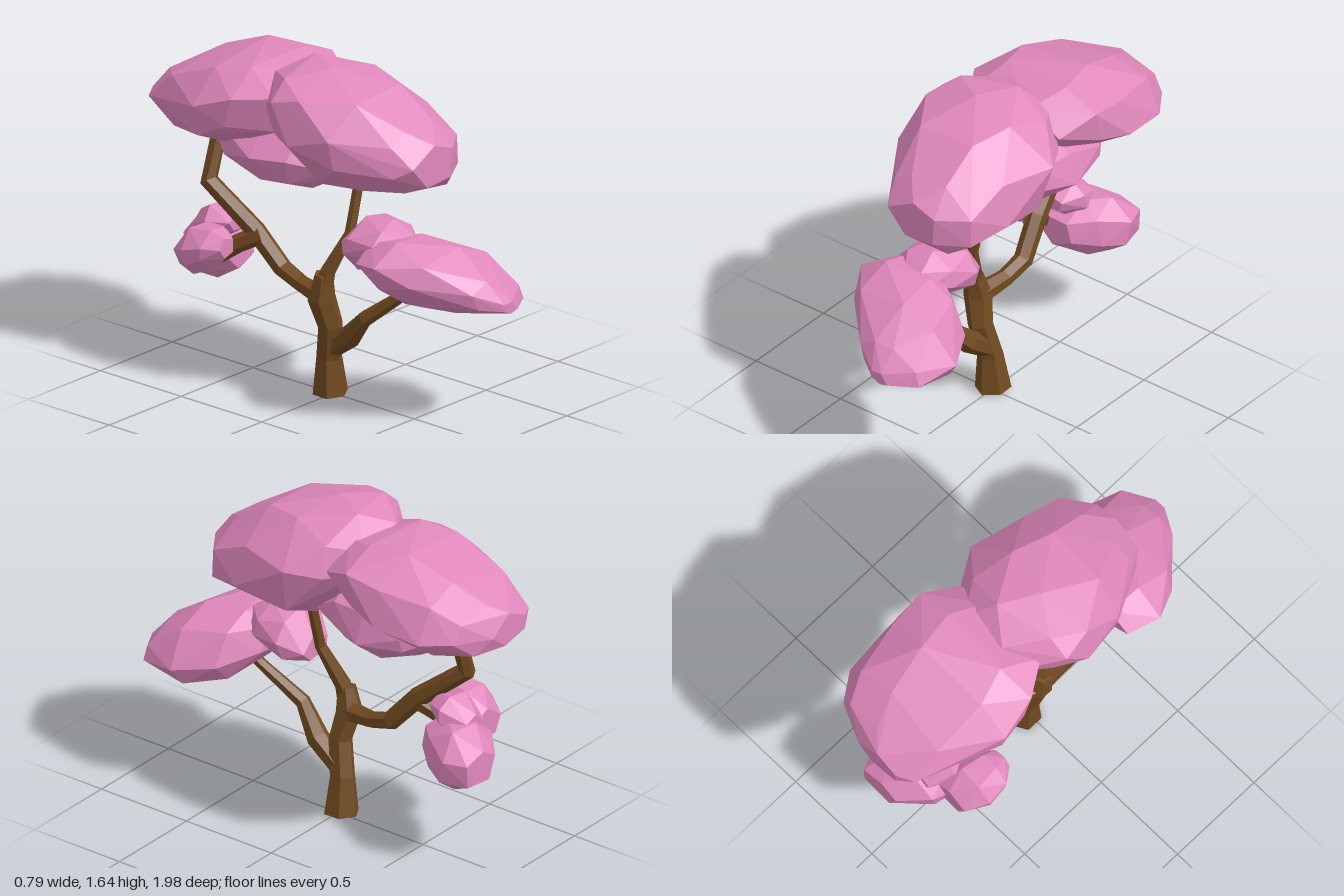
import * as THREE from 'three';
import { ConvexGeometry } from 'three/addons/geometries/ConvexGeometry.js';

const blossom = new THREE.MeshStandardMaterial({ color: 0xe088bc, flatShading: true });
blossom.name = 'blossom pink';
const bark = new THREE.MeshStandardMaterial({ color: 0x714a20, flatShading: true });
bark.name = 'bark brown';

// Small seeded generator for the irregular facets
function seeded(seed) {
  let s = seed * 7919 + 17;
  return () => (s = (s * 16807) % 2147483647) / 2147483647;
}

// Faceted foliage: hull around ellipses [z, centreX, centreY, radiusX, radiusY]; tilt slopes it across x
function foliage(name, seed, tilt, sections) {
  const rand = seeded(seed);
  rand();
  const points = [];
  sections.forEach(([z, cx, cy, rx, ry], ring) => {
    const inner = ring > 0 && ring < sections.length - 1;
    const sides = inner ? 8 : 5;
    const turn = rand() * Math.PI;
    for (let i = 0; i < sides; i++) {
      const a = turn + ((i + (rand() - 0.5) * 0.4) / sides) * Math.PI * 2;
      const r = 0.99 + rand() * 0.08;
      const dx = Math.cos(a) * rx * r;
      const dz = inner ? (rand() - 0.5) * 0.08 * (rx / 0.35) : 0;
      points.push(new THREE.Vector3(cx + dx, cy + Math.sin(a) * ry * r + dx * tilt, z + dz));
    }
  });
  const mesh = new THREE.Mesh(new ConvexGeometry(points), blossom);
  mesh.name = name;
  return mesh;
}

// Tapered six-sided limb through points [x, y, z, radius]
function limb(name, path) {
  const sides = 6;
  const centres = path.map(([x, y, z]) => new THREE.Vector3(x, y, z));
  const rings = centres.map((c, i) => {
    const before = centres[Math.max(i - 1, 0)];
    const after = centres[Math.min(i + 1, centres.length - 1)];
    const t = after.clone().sub(before).normalize();
    const s = new THREE.Vector3(1, 0, 0).addScaledVector(t, -t.x).normalize();
    const n = t.clone().cross(s);
    return Array.from({ length: sides }, (_, j) => {
      const a = ((j + 0.5) / sides) * Math.PI * 2;
      return c.clone()
        .addScaledVector(s, Math.cos(a) * path[i][3])
        .addScaledVector(n, Math.sin(a) * path[i][3]);
    });
  });
  const tris = [];
  const last = rings.length - 1;
  for (let j = 0; j < sides; j++) {
    const k = (j + 1) % sides;
    for (let i = 0; i < last; i++) {
      const [a, b, c, d] = [rings[i][j], rings[i][k], rings[i + 1][k], rings[i + 1][j]];
      tris.push(a, b, c, a, c, d);
    }
    tris.push(centres[0], rings[0][k], rings[0][j]);
    tris.push(centres[last], rings[last][j], rings[last][k]);
  }
  const geometry = new THREE.BufferGeometry().setFromPoints(tris);
  geometry.computeVertexNormals();
  const mesh = new THREE.Mesh(geometry, bark);
  mesh.name = name;
  return mesh;
}

export function createModel() {
  const tree = new THREE.Group();
  tree.name = 'blossomTree';

  // Trunk and branches
  tree.add(
    limb('trunk', [
      [-0.006, 0.005, -0.015, 0.086], [-0.02, 0.19, -0.01, 0.062], [-0.05, 0.36, 0.025, 0.06],
      [-0.085, 0.5, 0, 0.068], [-0.09, 0.62, 0.02, 0.045],
    ]),
    limb('frontUpperBranch', [
      [-0.09, 0.52, 0.01, 0.05], [-0.08, 0.63, 0.035, 0.04], [-0.02, 0.83, 0.12, 0.027],
      [0.04, 1.08, 0.125, 0.025], [0.05, 1.2, 0.125, 0.022],
    ]),
    limb('frontLowerBranch', [
      [-0.02, 0.22, -0.01, 0.05], [-0.03, 0.33, 0.14, 0.055], [-0.08, 0.46, 0.27, 0.037],
      [-0.02, 0.62, 0.47, 0.027], [0.01, 0.7, 0.55, 0.024],
    ]),
    limb('backUpperBranch', [
      [-0.08, 0.5, 0.02, 0.055], [-0.05, 0.52, -0.16, 0.042], [-0.04, 0.56, -0.28, 0.046],
      [-0.07, 0.72, -0.42, 0.048], [-0.12, 0.92, -0.665, 0.045], [-0.05, 1.12, -0.67, 0.038],
      [-0.03, 1.22, -0.67, 0.03],
    ]),
    limb('backLowerBranch', [
      [-0.07, 0.71, -0.38, 0.045], [-0.11, 0.65, -0.49, 0.044], [-0.16, 0.58, -0.58, 0.042],
    ]),
  );

  // Upper canopy
  tree.add(
    foliage('frontCanopy', 3, -0.08, [
      [0.61, 0.02, 1.27, 0.15, 0.1], [0.52, 0.05, 1.28, 0.25, 0.17], [0.3, 0.01, 1.33, 0.345, 0.25],
      [0.07, 0, 1.36, 0.38, 0.28], [-0.11, -0.03, 1.43, 0.315, 0.205], [-0.26, -0.02, 1.45, 0.19, 0.12],
    ]),
    foliage('backCanopy', 8, 0.05, [
      [-0.99, -0.03, 1.29, 0.12, 0.08], [-0.92, 0.03, 1.3, 0.25, 0.11],
      [-0.77, 0.04, 1.32, 0.34, 0.185], [-0.55, 0, 1.37, 0.39, 0.23],
      [-0.33, 0, 1.41, 0.385, 0.19], [-0.15, -0.02, 1.42, 0.3, 0.12],
    ]),
    foliage('lowerCanopy', 5, 0, [
      [0.04, 0.02, 1.12, 0.1, 0.05], [-0.12, 0.01, 1.14, 0.2, 0.145],
      [-0.32, 0.01, 1.14, 0.24, 0.175], [-0.52, 0.01, 1.15, 0.2, 0.125],
      [-0.67, 0.02, 1.17, 0.1, 0.06],
    ]),
  );

  // Low front clumps
  tree.add(
    foliage('frontClump', 11, -0.19, [
      [0.99, 0.12, 0.64, 0.05, 0.03], [0.91, 0.12, 0.675, 0.17, 0.085],
      [0.71, 0.05, 0.725, 0.295, 0.16], [0.53, -0.04, 0.765, 0.29, 0.165],
      [0.39, -0.1, 0.8, 0.18, 0.09],
    ]),
    foliage('frontSmallClump', 14, 0, [
      [0.51, -0.05, 0.86, 0.08, 0.06], [0.42, -0.05, 0.86, 0.155, 0.11],
      [0.27, -0.05, 0.835, 0.17, 0.13], [0.16, -0.04, 0.8, 0.09, 0.06],
    ]),
  );

  // Low back clumps
  tree.add(
    foliage('backClump', 17, 0, [
      [-0.53, -0.05, 0.58, 0.1, 0.08], [-0.64, -0.03, 0.57, 0.18, 0.14],
      [-0.77, 0.02, 0.565, 0.19, 0.155], [-0.89, 0.07, 0.55, 0.12, 0.085],
    ]),
    foliage('backSideClump', 20, 0, [
      [-0.42, -0.27, 0.69, 0.05, 0.05], [-0.5, -0.26, 0.67, 0.115, 0.1],
      [-0.6, -0.25, 0.64, 0.13, 0.125], [-0.71, -0.22, 0.61, 0.1, 0.08],
    ]),
    foliage('backSmallClump', 23, 0, [
      [-0.53, -0.07, 0.73, 0.06, 0.04], [-0.64, -0.07, 0.715, 0.12, 0.1],
      [-0.76, -0.06, 0.68, 0.07, 0.06],
    ]),
  );
  return tree;
}
